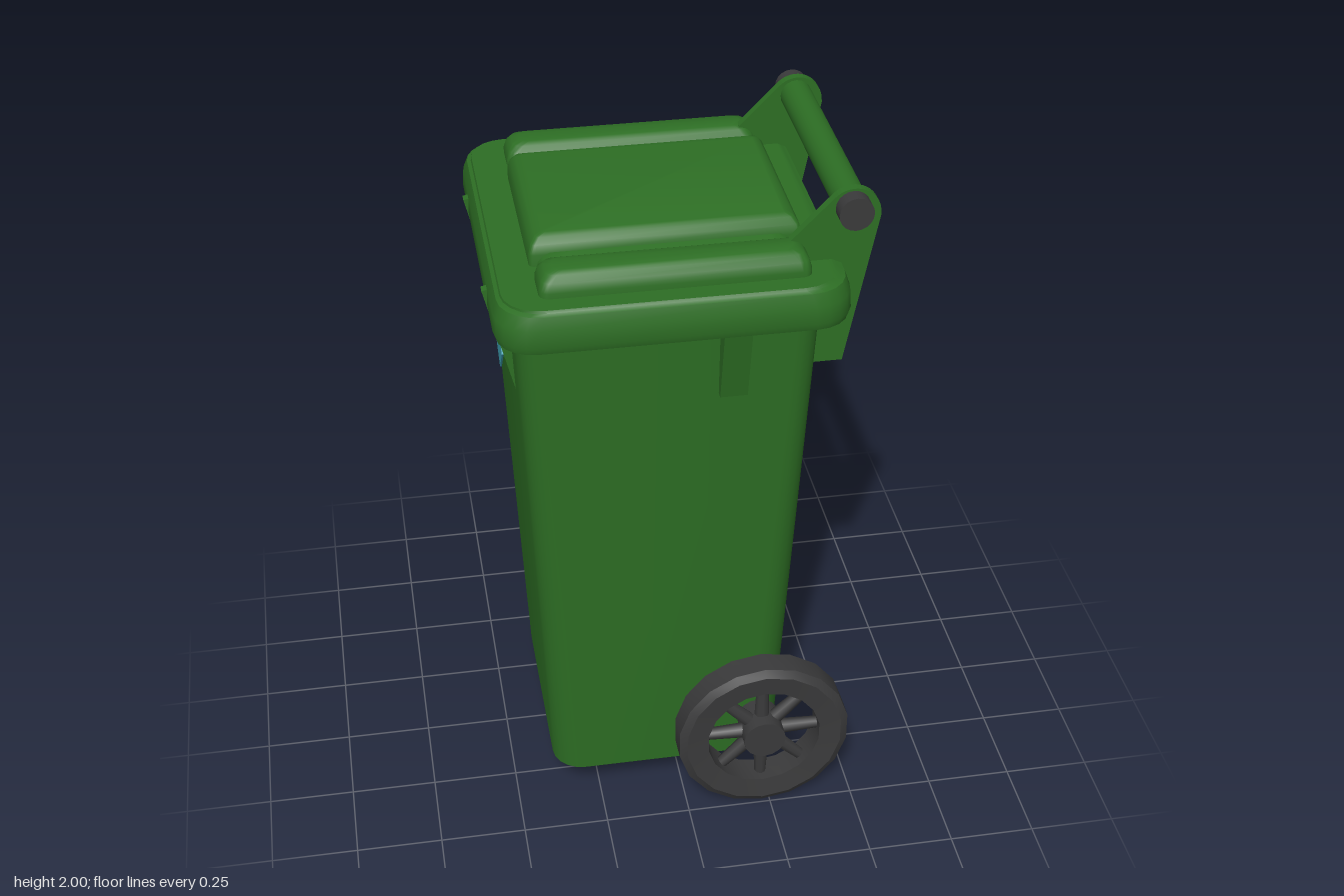
import * as THREE from 'three';
import { toCreasedNormals } from 'three/addons/utils/BufferGeometryUtils.js';

const material = (name, color, side = THREE.FrontSide) => {
  const m = new THREE.MeshStandardMaterial({ color, side });
  m.name = name;
  return m;
};

// Solid lofted through rounded rectangles: [y, xMin, xMax, halfZ, cornerRadius, zCentre]
function loft(sections, steps = 5) {
  const pos = [], index = [], n = 4 * (steps + 1);
  for (const [y, x0, x1, hz, r, cz = 0] of sections) {
    const cx = (x0 + x1) / 2, hx = (x1 - x0) / 2;
    for (let c = 0; c < 4; c++) {
      const sx = c === 0 || c === 3 ? 1 : -1, sz = c < 2 ? -1 : 1;
      for (let s = 0; s <= steps; s++) {
        const a = (c + s / steps) * Math.PI / 2;
        pos.push(cx + sx * (hx - r) + r * Math.cos(a), y, cz + sz * (hz - r) - r * Math.sin(a));
      }
    }
  }
  for (let k = 0; k < sections.length - 1; k++) {
    for (let i = 0; i < n; i++) {
      const j = (i + 1) % n, a = k * n, b = a + n;
      index.push(a + i, a + j, b + j, a + i, b + j, b + i);
    }
  }
  const top = (sections.length - 1) * n;
  for (let i = 1; i < n - 1; i++) index.push(0, i + 1, i, top, top + i, top + i + 1);
  const g = new THREE.BufferGeometry();
  g.setAttribute('position', new THREE.Float32BufferAttribute(pos, 3));
  g.setIndex(index);
  return toCreasedNormals(g, 0.65);
}

// Flat outline extruded evenly about z = 0
function plate(shape, depth) {
  const s = Array.isArray(shape) ? new THREE.Shape(shape.map(p => new THREE.Vector2(...p))) : shape;
  return new THREE.ExtrudeGeometry(s, { depth, bevelEnabled: false, curveSegments: 8 }).translate(0, 0, -depth / 2);
}

export function createModel() {
  const model = new THREE.Group();
  const green = material('green plastic', 0x2d6e24);
  const dark = material('dark rubber', 0x3a3a3b);
  const teal = material('teal', 0x3c9db0, THREE.DoubleSide);
  const add = (name, geometry, mat, x = 0, y = 0, z = 0, parent = model) => {
    const m = new THREE.Mesh(geometry, mat);
    m.name = name;
    m.position.set(x, y, z);
    parent.add(m);
    return m;
  };

  // Tapered bin body
  add('body', loft([
    [0.09, -0.375, 0.29, 0.355, 0.09],
    [0.1, -0.385, 0.298, 0.365, 0.09],
    [1.72, -0.46, 0.36, 0.452, 0.07],
  ]), green);

  // Lid with overhanging skirt and shallow step
  add('lid', loft([
    [1.68, -0.505, 0.428, 0.508, 0.1],
    [1.7, -0.512, 0.435, 0.515, 0.11],
    [1.75, -0.51, 0.432, 0.512, 0.11],
    [1.785, -0.498, 0.42, 0.502, 0.11],
    [1.79, -0.488, 0.408, 0.492, 0.11],
    [1.797, -0.485, 0.395, 0.488, 0.1],
  ]), green);

  // Raised lid panels: centre, sides, and the groove between them
  const pad = (x0, x1, hz, r, top, cz) => loft([
    [1.78, x0, x1, hz, r, cz],
    [top - 0.05, x0, x1, hz, r, cz],
    [top - 0.025, x0 + 0.007, x1 - 0.007, hz - 0.007, r, cz],
    [top - 0.008, x0 + 0.02, x1 - 0.02, hz - 0.02, r, cz],
    [top, x0 + 0.04, x1 - 0.04, hz - 0.035, r, cz],
  ]);
  add('lidGroove', pad(-0.38, 0.315, 0.33, 0.03, 1.835, 0), green);
  add('lidCentrePanel', pad(-0.396, 0.335, 0.262, 0.015, 1.88, 0), green);
  for (const s of [1, -1]) {
    add('lidSidePanel', pad(-0.39, 0.328, 0.067, 0.028, 1.862, s * 0.367), green);
  }

  // Handle side arms
  const arm = new THREE.Shape();
  arm.moveTo(0.35, 1.48);
  arm.lineTo(0.437, 1.48);
  arm.lineTo(0.522, 1.92);
  arm.absarc(0.448, 1.927, 0.073, 0, Math.PI * 0.75, false);
  arm.lineTo(0.28, 1.86);
  arm.lineTo(0.28, 1.78);
  arm.lineTo(0.35, 1.78);

  const finX = [[0.34, 1.7], [0.34, 1.49], [0.365, 1.49], [0.405, 1.7]];
  const frontFin = [[-0.44, 1.4], [-0.44, 1.76], [-0.525, 1.74]];
  const bracket = [[0.42, 1.465], [0.46, 1.465], [0.507, 1.69], [0.42, 1.69]];
  for (const s of [1, -1]) {
    add('handleArm', plate(arm, 0.025), green, 0, 0, s * 0.34);
    add('handleCap', new THREE.CylinderGeometry(0.047, 0.047, 0.045, 20).rotateX(Math.PI / 2), dark, 0.445, 1.947, s * 0.373);
    // Ribs and brackets under the lid
    add('rearRib', plate(finX, 0.035), green, 0, 0, s * 0.26);
    add('frontRib', plate(frontFin, 0.026), green, 0, 0, s * 0.255);
    add('sideBracket', plate(bracket, 0.075).rotateY(-s * Math.PI / 2), green, 0.1175);
  }
  add('handleBar', new THREE.CylinderGeometry(0.045, 0.045, 0.72, 20).rotateX(Math.PI / 2), green, 0.445, 1.947, 0);

  // Thin raised side panel and front sticker
  add('sidePanel', plate([[0.115, 1.69], [-0.28, 1.69], [-0.28, 1.29], [-0.05, 1.31], [0.115, 1.41]], 0.008),
    green, 0, 0, -0.447);
  add('sticker', plate([[-0.06, 1.51], [-0.147, 1.41], [0.0, 1.33], [0.08, 1.42]], 0.005).rotateY(-Math.PI / 2),
    teal, -0.462);

  // Spoked wheels and axle ends
  const tyre = [[0.17, -0.043], [0.235, -0.05], [0.258, -0.036], [0.258, 0.036], [0.235, 0.05], [0.17, 0.043], [0.17, -0.043]];
  const tyreGeo = toCreasedNormals(
    new THREE.LatheGeometry(tyre.map(p => new THREE.Vector2(...p)), 18).rotateX(Math.PI / 2), 0.5);
  const hubGeo = new THREE.CylinderGeometry(0.063, 0.063, 0.112, 16).rotateX(Math.PI / 2);
  const spokeGeo = new THREE.CylinderGeometry(0.017, 0.023, 0.14, 8).translate(0, 0.115, 0);
  for (const s of [1, -1]) {
    const wheel = new THREE.Group();
    wheel.name = s > 0 ? 'leftWheel' : 'rightWheel';
    wheel.position.set(0.226, 0.258, s * 0.452);
    model.add(wheel);
    add('tyre', tyreGeo, dark, 0, 0, 0, wheel);
    add('hub', hubGeo, dark, 0, 0, 0, wheel);
    for (let i = 0; i < 8; i++) {
      add('spoke', spokeGeo, dark, 0, 0, 0, wheel).rotation.z = i * Math.PI / 4;
    }
    add('axleEnd', new THREE.CylinderGeometry(0.03, 0.03, 0.08, 12).rotateX(Math.PI / 2),
      s > 0 ? teal : dark, 0.226, 0.258, s * 0.375);
  }
  return model;
}
